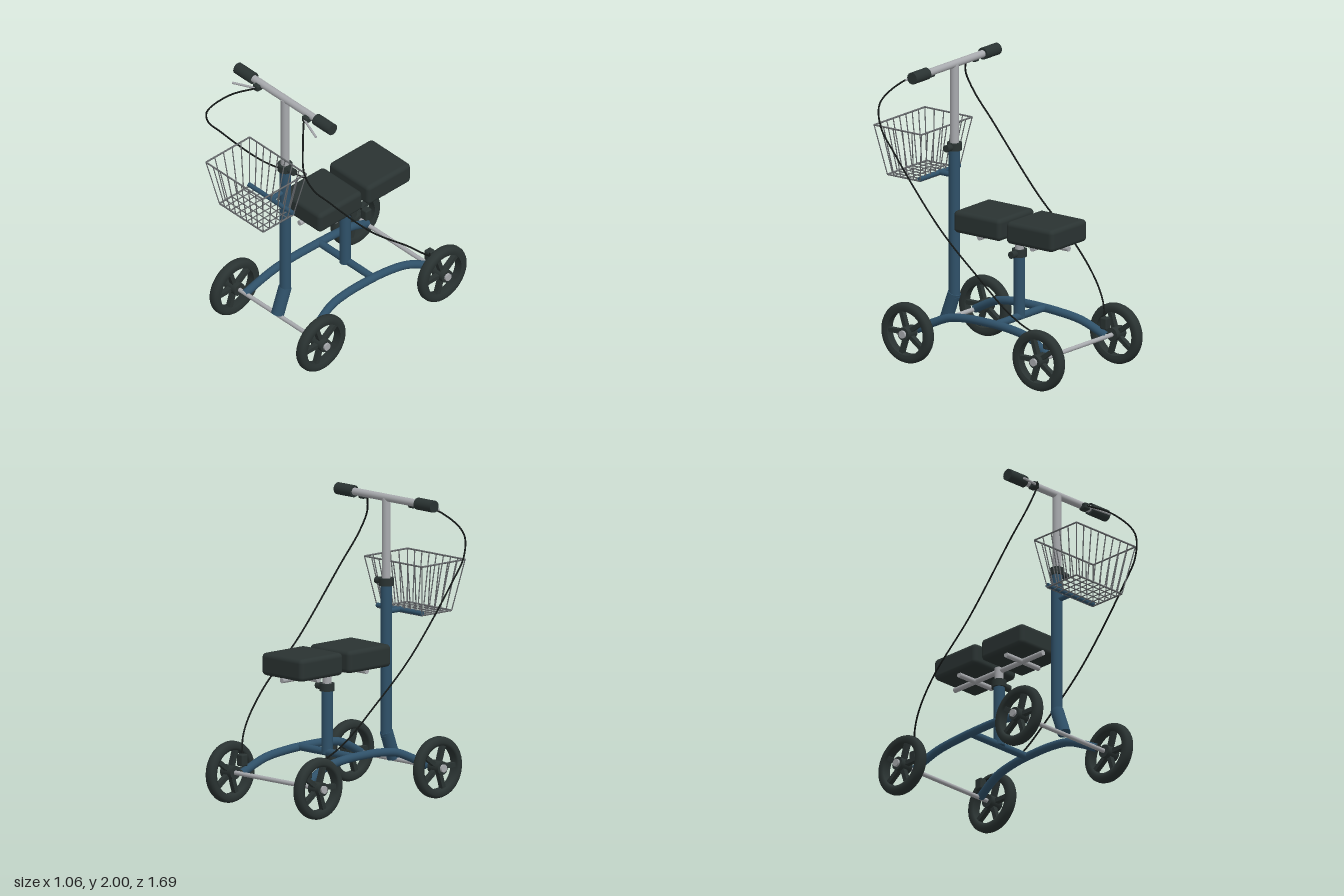
import * as THREE from 'three';
import { RoundedBoxGeometry } from 'three/addons/geometries/RoundedBoxGeometry.js';
import { mergeGeometries } from 'three/addons/utils/BufferGeometryUtils.js';

const V = (x, y, z) => new THREE.Vector3(x, y, z);

// Straight round bar between two points
function bar(a, b, r, sides = 20) {
  const dir = b.clone().sub(a);
  const g = new THREE.CylinderGeometry(r, r, dir.length(), sides);
  g.applyQuaternion(new THREE.Quaternion().setFromUnitVectors(V(0, 1, 0), dir.normalize()));
  const m = a.clone().add(b).multiplyScalar(0.5);
  return g.translate(m.x, m.y, m.z);
}

function tube(points, r, segments, sides) {
  return new THREE.TubeGeometry(new THREE.CatmullRomCurve3(points), segments, r, sides);
}

function box(w, h, d, x, y, z, radius = 0.01) {
  return new RoundedBoxGeometry(w, h, d, 3, radius).translate(x, y, z);
}

export function createModel() {
  const model = new THREE.Group();
  model.name = 'kneeScooter';
  const material = (name, color) => {
    const m = new THREE.MeshStandardMaterial({ color });
    m.name = name;
    return m;
  };
  const blue = material('bluePaint', 0x2f5169);
  const black = material('blackRubber', 0x2a3332);
  const silver = material('silverMetal', 0xa8aaae);
  const wire = material('basketWire', 0x66696c);
  const cableBlack = material('cableBlack', 0x151918);

  const add = (name, geometry, mat, parent = model) => {
    const mesh = new THREE.Mesh(geometry, mat);
    mesh.name = name;
    parent.add(mesh);
    return mesh;
  };

  // Wheels and axles
  const axleY = 0.207, frontZ = 0.45, rearZ = -0.64;
  const tireProfile = [
    [0.148, -0.03], [0.165, -0.035], [0.185, -0.035], [0.198, -0.027], [0.205, -0.012],
    [0.205, 0.012], [0.198, 0.027], [0.185, 0.035], [0.165, 0.035], [0.148, 0.03], [0.148, -0.03],
  ].map(([r, h]) => new THREE.Vector2(r, h));
  const tire = new THREE.LatheGeometry(tireProfile, 48).rotateZ(Math.PI / 2);
  const hub = new THREE.CylinderGeometry(0.045, 0.045, 0.1, 24).rotateZ(Math.PI / 2);
  const spokes = [];
  for (let i = 0; i < 5; i++) {
    spokes.push(new THREE.BoxGeometry(0.035, 0.03, 0.12).translate(0, 0, 0.097)
      .rotateX((i / 5) * Math.PI * 2));
  }
  const spokeSet = mergeGeometries(spokes);
  for (const [end, z] of [['front', frontZ], ['rear', rearZ]]) {
    add(end + 'Axle', bar(V(-0.46, axleY, z), V(0.46, axleY, z), 0.015), silver);
    for (const s of [1, -1]) {
      const wheel = new THREE.Group();
      wheel.name = end + (s > 0 ? 'Left' : 'Right') + 'Wheel';
      wheel.position.set(s * 0.415, axleY, z);
      add('tire', tire, black, wheel);
      add('spokes', spokeSet, black, wheel);
      add('hub', hub, black, wheel);
      add('axleNut', bar(V(s * 0.045, 0, 0), V(s * 0.066, 0, 0), 0.026), silver, wheel);
      model.add(wheel);
    }
  }

  // Arched side rails, brake blocks, levers, grips and cables
  for (const s of [1, -1]) {
    const side = s > 0 ? 'left' : 'right';
    const mirrored = (pts) => pts.map(([x, y, z]) => V(s * x, y, z));
    add(side + 'Rail', tube(mirrored([
      [0.31, 0.208, 0.45], [0.29, 0.265, 0.34], [0.27, 0.315, 0.22], [0.262, 0.333, 0.08],
      [0.26, 0.335, -0.08], [0.263, 0.325, -0.28], [0.277, 0.295, -0.46], [0.305, 0.213, -0.64],
    ]), 0.028, 48, 16), blue);
    add(side + 'BrakeBlock', box(0.055, 0.08, 0.055, s * 0.305, 0.3, -0.635), black);
    add(side + 'Grip', bar(V(s * 0.3, 1.962, 0.382), V(s * 0.456, 1.962, 0.382), 0.04, 24), black);
    add(side + 'LeverClamp', box(0.05, 0.045, 0.06, s * 0.235, 1.945, 0.405), black);
    add(side + 'BrakeLever', bar(V(s * 0.235, 1.945, 0.43), V(s * 0.4, 1.922, 0.48), 0.008, 10), silver);
    add(side + 'Cable', tube(mirrored([
      [0.22, 1.95, 0.42], [0.35, 1.885, 0.55], [0.46, 1.75, 0.645], [0.505, 1.61, 0.605],
      [0.52, 1.45, 0.48], [0.525, 1.0, 0.095], [0.515, 0.7, -0.24], [0.48, 0.53, -0.41],
      [0.42, 0.42, -0.52], [0.31, 0.32, -0.63],
    ]), 0.006, 90, 8), cableBlack);
  }
  add('crossbar', bar(V(-0.26, 0.335, -0.165), V(0.26, 0.335, -0.165), 0.025), blue);

  // Steering column
  const colZ = 0.383;
  add('column', bar(V(0, 0.37, colZ), V(0, 1.4, colZ), 0.038, 28), blue);
  add('columnFoot', bar(V(0, 0.4, colZ), V(0, 0.215, frontZ), 0.044, 24), blue);
  add('stem', bar(V(0, 1.4, colZ), V(0, 1.96, colZ), 0.029, 24), silver);
  add('handlebar', bar(V(-0.32, 1.962, 0.382), V(0.32, 1.962, 0.382), 0.025), silver);

  // Height clamps, each with a knob on the left
  for (const [name, y, z] of [['columnClamp', 1.4, colZ], ['seatClamp', 0.768, -0.157]]) {
    add(name, bar(V(0, y - 0.025, z), V(0, y + 0.025, z), 0.05, 28), black);
    add(name + 'Knob', bar(V(0.03, y, z), V(0.092, y, z), 0.024), black);
  }

  // Seat post, support bars and knee pads
  add('seatPost', bar(V(0, 0.325, -0.157), V(0, 0.76, -0.157), 0.038, 28), blue);
  add('seatInnerPost', bar(V(0, 0.76, -0.157), V(0, 0.885, -0.157), 0.03, 24), silver);
  add('seatRail', bar(V(0, 0.863, 0.255), V(0, 0.863, -0.57), 0.018), silver);
  for (const z of [0.06, -0.378]) {
    add('seatCrossbar', bar(V(-0.152, 0.863, z), V(0.152, 0.863, z), 0.018), silver);
  }
  add('frontPad', box(0.385, 0.15, 0.39, 0, 0.95, 0.055, 0.03), black);
  add('rearPad', box(0.385, 0.15, 0.39, 0, 0.95, -0.382, 0.03), black);

  // Wire basket: a tapered grid of wires
  const top = { y: 1.525, x: 0.272, z0: 0.447, z1: 0.84 };
  const low = { y: 1.185, x: 0.21, z0: 0.505, z1: 0.777 };
  const at = (ring, u, v) => V((u * 2 - 1) * ring.x, ring.y, ring.z0 + (ring.z1 - ring.z0) * v);
  const wires = [];
  const link = (a, b, r = 0.004) => wires.push(bar(a, b, r, 6));
  const nx = 8, nz = 5;
  for (let i = 0; i <= nx; i++) {
    const u = i / nx;
    for (const v of [0, 1]) link(at(low, u, v), at(top, u, v));
    link(at(low, u, 0), at(low, u, 1));
  }
  for (let j = 0; j <= nz; j++) {
    const v = j / nz;
    for (const u of [0, 1]) link(at(low, u, v), at(top, u, v));
    link(at(low, 0, v), at(low, 1, v));
  }
  for (const ring of [top, low]) {
    for (const e of [0, 1]) {
      link(at(ring, 0, e), at(ring, 1, e), 0.006);
      link(at(ring, e, 0), at(ring, e, 1), 0.006);
    }
  }
  add('basket', mergeGeometries(wires), wire);
  add('basketArm', bar(V(0, 1.2, colZ), V(0, 1.2, 0.515), 0.018), blue);
  add('basketSupport', bar(V(-0.213, 1.198, 0.508), V(0.213, 1.198, 0.508), 0.016), blue);

  return model;
}
